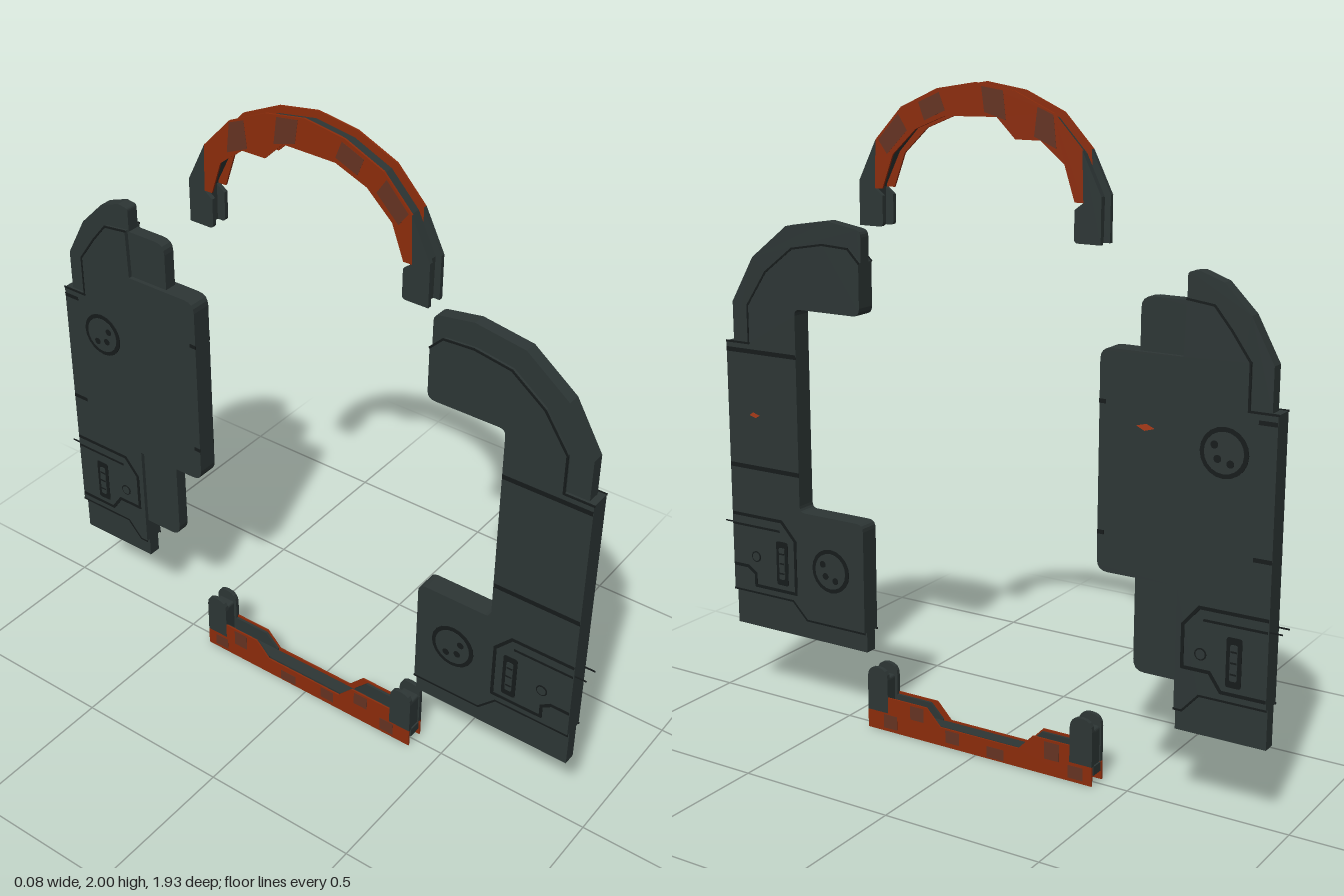
import * as THREE from 'three';

const mat = (name, color, side = THREE.FrontSide) => {
  const m = new THREE.MeshStandardMaterial({ color, side });
  m.name = name;
  return m;
};

export function createModel() {
  const root = new THREE.Group();
  root.name = 'explodedGateway';
  const steel = mat('dark steel', 0x2d3635);
  const seamMat = mat('seam black', 0x161b1b);
  const rust = mat('rust orange', 0x8c2c0b);
  const worn = mat('worn rust', 0x653322);
  const red = mat('marker red', 0xa83a18);

  // Outline from [z, y, cornerRadius] points
  const outline = (pts) => {
    const s = new THREE.Shape();
    const n = pts.length;
    pts.forEach((p, i) => {
      const c = new THREE.Vector2(p[0], p[1]);
      const a = new THREE.Vector2(...pts[(i + n - 1) % n].slice(0, 2)).sub(c).normalize();
      const b = new THREE.Vector2(...pts[(i + 1) % n].slice(0, 2)).sub(c).normalize();
      const r = p[2] || 0;
      const p0 = c.clone().addScaledVector(a, r), p1 = c.clone().addScaledVector(b, r);
      if (i === 0) s.moveTo(p0.x, p0.y); else s.lineTo(p0.x, p0.y);
      if (r) s.quadraticCurveTo(c.x, c.y, p1.x, p1.y);
    });
    s.closePath();
    return s;
  };

  // Slab lying in the zy plane between x0 and x1
  const plate = (parent, name, pts, x0, x1, material) => {
    const g = new THREE.ExtrudeGeometry(outline(pts), { depth: x1 - x0, bevelEnabled: false, curveSegments: 4 });
    g.rotateY(-Math.PI / 2).translate(x1, 0, 0);
    const m = new THREE.Mesh(g, material);
    m.name = name;
    parent.add(m);
  };
  const core = (parent, name, pts, half, material) => plate(parent, name, pts, -half, half, material);
  const bothSides = (parent, name, pts, x0, x1, material) => {
    plate(parent, name, pts, x0, x1, material);
    plate(parent, name, pts, -x1, -x0, material);
  };
  const rect = (z0, z1, y0, y1, r = 0) => [[z0, y0, r], [z1, y0, r], [z1, y1, r], [z0, y1, r]];

  // Dark engraved line along a path, on both faces
  const seam = (parent, name, pts, w = 0.01, x = 0.033) => {
    for (let i = 0; i < pts.length - 1; i++) {
      const [z0, y0] = pts[i], [z1, y1] = pts[i + 1];
      const len = Math.hypot(z1 - z0, y1 - y0);
      for (const s of [1, -1]) {
        const m = new THREE.Mesh(new THREE.BoxGeometry(0.003, w, len + w * 0.6), seamMat);
        m.position.set(s * x, (y0 + y1) / 2, (z0 + z1) / 2);
        m.rotation.x = -Math.atan2(y1 - y0, z1 - z0);
        m.name = name;
        parent.add(m);
      }
    }
  };

  // Round disc on both faces
  const disc = (parent, name, z, y, r, x, material) => {
    for (const s of [1, -1]) {
      const m = new THREE.Mesh(new THREE.CylinderGeometry(r, r, 0.008, 20), material);
      m.rotation.z = Math.PI / 2;
      m.position.set(s * (x - 0.004), y, z);
      m.name = name;
      parent.add(m);
    }
  };
  const dial = (parent, z, y) => {
    disc(parent, 'dialRim', z, y, 0.071, 0.0355, seamMat);
    disc(parent, 'dialFace', z, y, 0.058, 0.037, steel);
    for (const [dz, dy] of [[0.028, 0.02], [-0.02, -0.028], [0.018, -0.018]])
      disc(parent, 'dialStud', z + dz, y + dy, 0.011, 0.038, seamMat);
  };
  const latch = (parent, z) => {
    bothSides(parent, 'latchSlot', rect(z - 0.023, z + 0.023, 0.405, 0.55, 0.008), 0.03, 0.0345, seamMat);
    bothSides(parent, 'latchHandle', rect(z - 0.011, z + 0.011, 0.425, 0.53, 0.006), 0.03, 0.037, steel);
    for (const y of [0.445, 0.478, 0.51])
      seam(parent, 'latchNotch', [[z - 0.008, y], [z + 0.008, y]], 0.005, 0.0365);
  };
  const spike = (parent, z) => {
    for (const s of [1, -1]) {
      const m = new THREE.Mesh(new THREE.BoxGeometry(0.003, 0.004, 0.04), seamMat);
      m.position.set(s * 0.025, 0.583, z);
      m.name = 'edgePin';
      parent.add(m);
    }
  };
  const group = (name) => {
    const g = new THREE.Group();
    g.name = name;
    root.add(g);
    return g;
  };

  // Hooked panel (front side of the gateway)
  const hook = group('hookedPanel');
  core(hook, 'hookCore', [[0.93, 0.24], [0.41, 0.24], [0.41, 0.66, 0.025], [0.655, 0.66, 0.02], [0.655, 1.305, 0.02],
    [0.41, 1.305, 0.025], [0.41, 1.56, 0.02], [0.535, 1.58], [0.69, 1.555], [0.825, 1.45], [0.91, 1.305],
    [0.91, 1.18], [0.93, 1.18]], 0.02, steel);
  const hookCurve = [[0.41, 1.465], [0.45, 1.505], [0.545, 1.51], [0.66, 1.49], [0.765, 1.41], [0.84, 1.3], [0.84, 1.18], [0.93, 1.18]];
  const hookFoot = [[0.93, 0.36], [0.69, 0.36], [0.635, 0.305], [0.41, 0.305]];
  core(hook, 'hookFacing', [...hookFoot, [0.41, 0.66, 0.025], [0.655, 0.66, 0.02], [0.655, 1.305, 0.02],
    [0.41, 1.305, 0.025], ...hookCurve], 0.033, steel);
  seam(hook, 'hookRimLine', hookCurve, 0.006, 0.0325);
  seam(hook, 'hookFootLine', hookFoot, 0.006, 0.0325);
  for (const y of [1.155, 0.78]) seam(hook, 'crossGroove', [[0.66, y], [0.925, y]], 0.014);
  seam(hook, 'latchOutline', [[0.925, 0.617], [0.73, 0.617], [0.677, 0.56], [0.677, 0.385], [0.84, 0.385], [0.84, 0.425], [0.87, 0.445], [0.925, 0.445]], 0.01);
  seam(hook, 'latchOutlineInner', [[0.925, 0.583], [0.74, 0.583]], 0.007);
  disc(hook, 'latchKnob', 0.836, 0.483, 0.018, 0.035, seamMat);
  disc(hook, 'latchKnobCap', 0.836, 0.483, 0.014, 0.036, steel);
  latch(hook, 0.73);
  dial(hook, 0.537, 0.487);
  spike(hook, 0.945);
  plate(hook, 'redMarker', [[0.845, 0.95], [0.82, 0.943], [0.805, 0.952], [0.83, 0.96]], 0.033, 0.0345, red);

  // Tongued panel (rear side of the gateway)
  const tongue = group('tonguedPanel');
  core(tongue, 'tongueInsert', rect(-0.7, -0.52, 0.385, 1.455, 0.035), 0.02, steel);
  core(tongue, 'tongueCore', [[-0.655, 0.24], [-0.93, 0.24], [-0.93, 1.18], [-0.908, 1.18], [-0.908, 1.305],
    [-0.84, 1.43], [-0.76, 1.51], [-0.69, 1.535], [-0.655, 1.53, 0.01]], 0.02, steel);
  const tongueCurve = [[-0.93, 1.18], [-0.847, 1.18], [-0.847, 1.31], [-0.79, 1.39], [-0.74, 1.45], [-0.66, 1.46]];
  const tongueFoot = [[-0.655, 0.305], [-0.68, 0.305], [-0.73, 0.36], [-0.93, 0.36]];
  core(tongue, 'tongueFacing', [...tongueFoot, ...tongueCurve, [-0.655, 1.305], [-0.405, 1.305, 0.035],
    [-0.405, 0.665, 0.035], [-0.655, 0.665]], 0.033, steel);
  seam(tongue, 'tongueRimLine', tongueCurve, 0.006, 0.0325);
  seam(tongue, 'tongueFootLine', tongueFoot, 0.006, 0.0325);
  for (const y of [1.155, 0.78]) {
    seam(tongue, 'innerNotch', [[-0.408, y], [-0.422, y]], 0.012);
    seam(tongue, 'outerNotch', [[-0.88, y], [-0.926, y]], 0.012);
  }
  seam(tongue, 'latchOutline', [[-0.925, 0.617], [-0.725, 0.617], [-0.677, 0.56], [-0.677, 0.435], [-0.76, 0.435], [-0.795, 0.385], [-0.925, 0.385]], 0.01);
  seam(tongue, 'latchOutlineInner', [[-0.925, 0.583], [-0.74, 0.583]], 0.007);
  disc(tongue, 'latchKnob', -0.732, 0.483, 0.018, 0.035, seamMat);
  disc(tongue, 'latchKnobCap', -0.732, 0.483, 0.014, 0.036, steel);
  latch(tongue, -0.832);
  dial(tongue, -0.782, 1.06);
  spike(tongue, -0.945);
  plate(tongue, 'redMarker', [[-0.52, 1.1], [-0.545, 1.088], [-0.575, 1.097], [-0.55, 1.108]], 0.033, 0.0345, red);

  // Top arch: recessed core, steel legs and rust cheeks
  const arch = group('topArch');
  const outer = [[0.4, 1.71], [0.34, 1.83], [0.25, 1.925], [0.127, 1.98], [0, 2], [-0.127, 1.98], [-0.25, 1.925], [-0.34, 1.83], [-0.4, 1.71]];
  const inner = [[-0.318, 1.69], [-0.285, 1.79], [-0.21, 1.85], [-0.13, 1.85], [-0.07, 1.908], [0.1, 1.905], [0.2, 1.865], [0.28, 1.79], [0.318, 1.69]];
  const inset = (k) => outer.map(([z, y]) => [z * k, 1.58 + (y - 1.58) * k]);
  core(arch, 'archCore', [[0.38, 1.58], ...inset(0.955), [-0.38, 1.58], [-0.345, 1.58], ...inset(0.86).reverse(), [0.345, 1.58]], 0.021, steel);
  for (const s of [1, -1])
    bothSides(arch, 'archLeg', [[s * 0.4, 1.58], [s * 0.4, 1.71], [s * 0.34, 1.83], [s * 0.345, 1.69], [s * 0.318, 1.67], [s * 0.318, 1.58, 0.012]], 0.02, 0.033, steel);
  bothSides(arch, 'archCheek', [[0.345, 1.69], ...outer.slice(1, 8), [-0.345, 1.69], ...inner], 0.027, 0.033, rust);
  for (const q of [
    [[0.33, 1.83], [0.26, 1.905], [0.23, 1.86], [0.3, 1.79]],
    [[0.19, 1.94], [0.12, 1.97], [0.1, 1.92], [0.17, 1.89]],
    [[-0.02, 1.99], [-0.09, 1.98], [-0.1, 1.9], [-0.03, 1.92]],
    [[-0.2, 1.94], [-0.25, 1.92], [-0.26, 1.83], [-0.19, 1.86]]])
    bothSides(arch, 'archWear', q, 0.032, 0.0336, worn);

  // Bottom sill: grooved core, rust cheeks and rounded ears
  const sill = group('bottomSill');
  core(sill, 'sillCore', rect(-0.4, 0.4, 0.03, 0.058), 0.021, steel);
  bothSides(sill, 'sillCheek', [[-0.4, 0], [0.4, 0], [0.4, 0.06], [0.325, 0.06], [0.325, 0.112], [0.18, 0.112],
    [0.13, 0.06], [-0.15, 0.06], [-0.2, 0.112], [-0.325, 0.112], [-0.325, 0.06], [-0.4, 0.06]], 0.028, 0.033, rust);
  for (const s of [1, -1]) {
    bothSides(sill, 'sillEar', [[s * 0.4, 0.06], [s * 0.325, 0.06], [s * 0.325, 0.205, 0.036], [s * 0.4, 0.205, 0.036]], 0.02, 0.033, steel);
    core(sill, 'sillEarCore', rect(s * 0.335, s * 0.395, 0.03, 0.17, 0.01), 0.021, steel);
    bothSides(sill, 'sillInnerCheek', [[s * 0.33, 0.03], [s * 0.33, 0.105], [s * 0.2, 0.105], [s * 0.155, 0.06], [s * 0.155, 0.03]], 0.02, 0.0285, steel);
  }
  for (const [z0, z1, y0, y1] of [[0.29, 0.34, 0.01, 0.055], [0.19, 0.24, 0.06, 0.105], [0.06, 0.11, 0.015, 0.055],
    [-0.1, -0.04, 0.005, 0.04], [-0.29, -0.24, 0.05, 0.105], [-0.37, -0.32, 0.01, 0.05]])
    bothSides(sill, 'sillWear', rect(z0, z1, y0, y1), 0.032, 0.0336, worn);

  return root;
}
